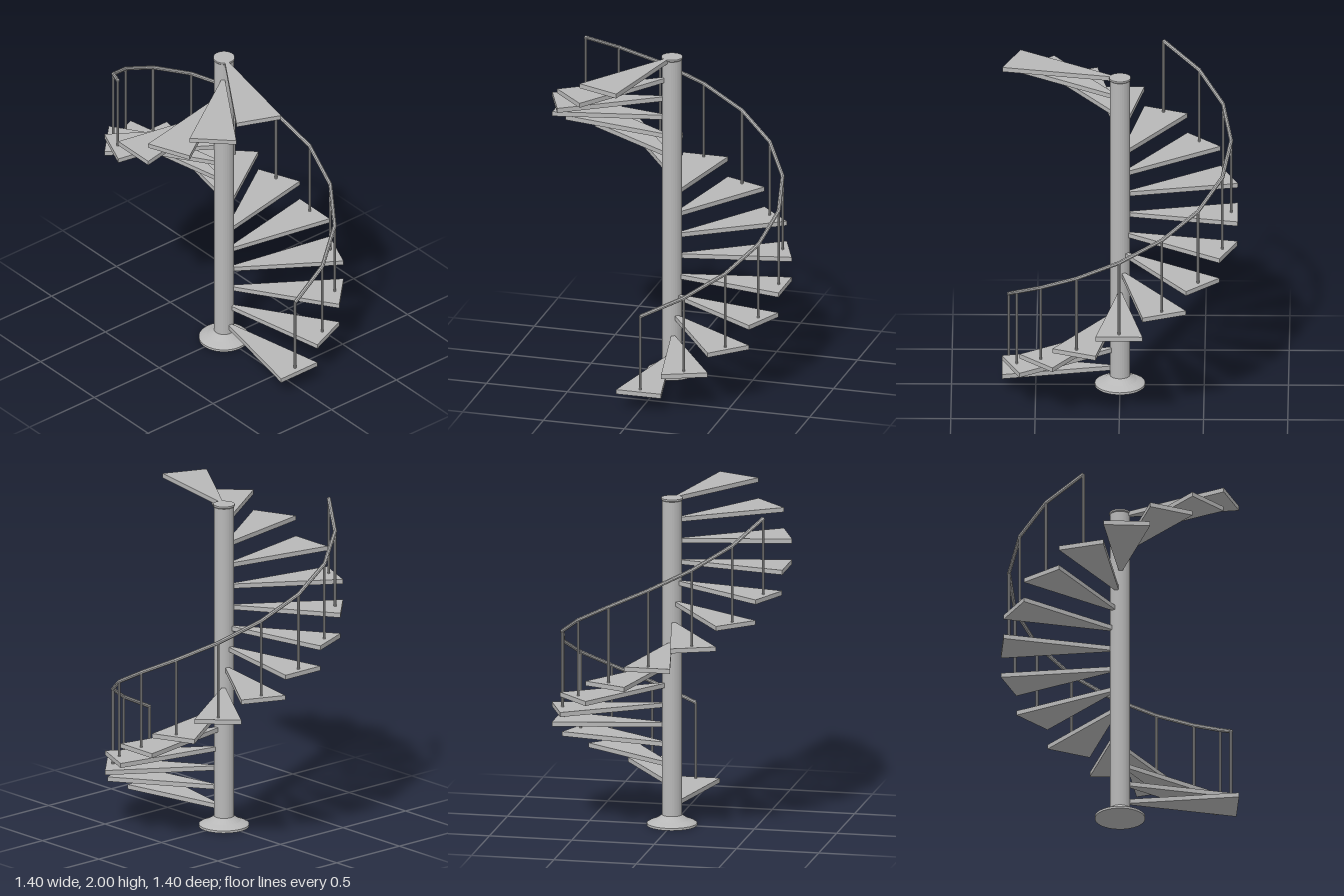
import * as THREE from 'three';

const STEPS = 16;
const RISE = 0.125;
const TURN = (Math.PI * 2) / STEPS;
const THICK = 0.028;
const RAIL_RADIUS = 0.66;
const RAIL_HEIGHT = 0.465;
const POSTS = 12;

// Point at a given step number, on a circle around the column
const around = (step, radius, y) =>
  new THREE.Vector3(Math.sin(step * TURN) * radius, y, Math.cos(step * TURN) * radius);

export function createModel() {
  const group = new THREE.Group();
  group.name = 'spiralStaircase';
  const grey = new THREE.MeshStandardMaterial({ color: 0xb8b8b8, flatShading: true });
  grey.name = 'light grey';

  const add = (name, geometry) => {
    const mesh = new THREE.Mesh(geometry, grey);
    mesh.name = name;
    group.add(mesh);
    return mesh;
  };

  // Column with flared foot and a thin cap lip
  const profile = [
    [0, 0], [0.15, 0], [0.15, 0.014], [0.135, 0.022], [0.1, 0.036], [0.075, 0.052],
    [0.06, 0.064], [0.06, 1.985], [0.064, 1.99], [0.064, 2], [0, 2],
  ].map(([r, y]) => new THREE.Vector2(r, y));
  add('column', new THREE.LatheGeometry(profile, 32));

  // Wedge treads, each a sixteenth of the circle
  const half = 0.7 * Math.tan(TURN / 2);
  const wedge = new THREE.Shape([
    new THREE.Vector2(0, 0), new THREE.Vector2(half, -0.7), new THREE.Vector2(-half, -0.7),
  ].reverse());
  const treadGeometry = new THREE.ExtrudeGeometry(wedge, { depth: THICK, bevelEnabled: false });
  treadGeometry.rotateX(-Math.PI / 2);
  for (let i = 0; i < STEPS; i++) {
    const tread = add('tread', treadGeometry);
    tread.rotation.y = i * TURN;
    tread.position.y = (i + 1) * RISE - THICK;
  }

  // Posts standing on the lower treads
  const postGeometry = new THREE.CylinderGeometry(0.008, 0.008, RAIL_HEIGHT, 8);
  const railPoints = [];
  for (let i = 0; i < POSTS; i++) {
    const top = (i + 1) * RISE;
    add('post', postGeometry).position.copy(around(i, RAIL_RADIUS, top + RAIL_HEIGHT / 2));
    railPoints.push(around(i, RAIL_RADIUS, top + RAIL_HEIGHT));
  }

  // Handrail: equal straight lengths mitred at each post
  const path = new THREE.CurvePath();
  for (let i = 1; i < POSTS; i++) path.add(new THREE.LineCurve3(railPoints[i - 1], railPoints[i]));
  add('handrail', new THREE.TubeGeometry(path, POSTS - 1, 0.012, 8));

  // Flat ends of the handrail
  for (const [end, next] of [[0, 1], [POSTS - 1, POSTS - 2]]) {
    const cap = add('handrailEnd', new THREE.CircleGeometry(0.012, 8));
    cap.position.copy(railPoints[end]);
    cap.lookAt(railPoints[end].clone().multiplyScalar(2).sub(railPoints[next]));
  }
  return group;
}
